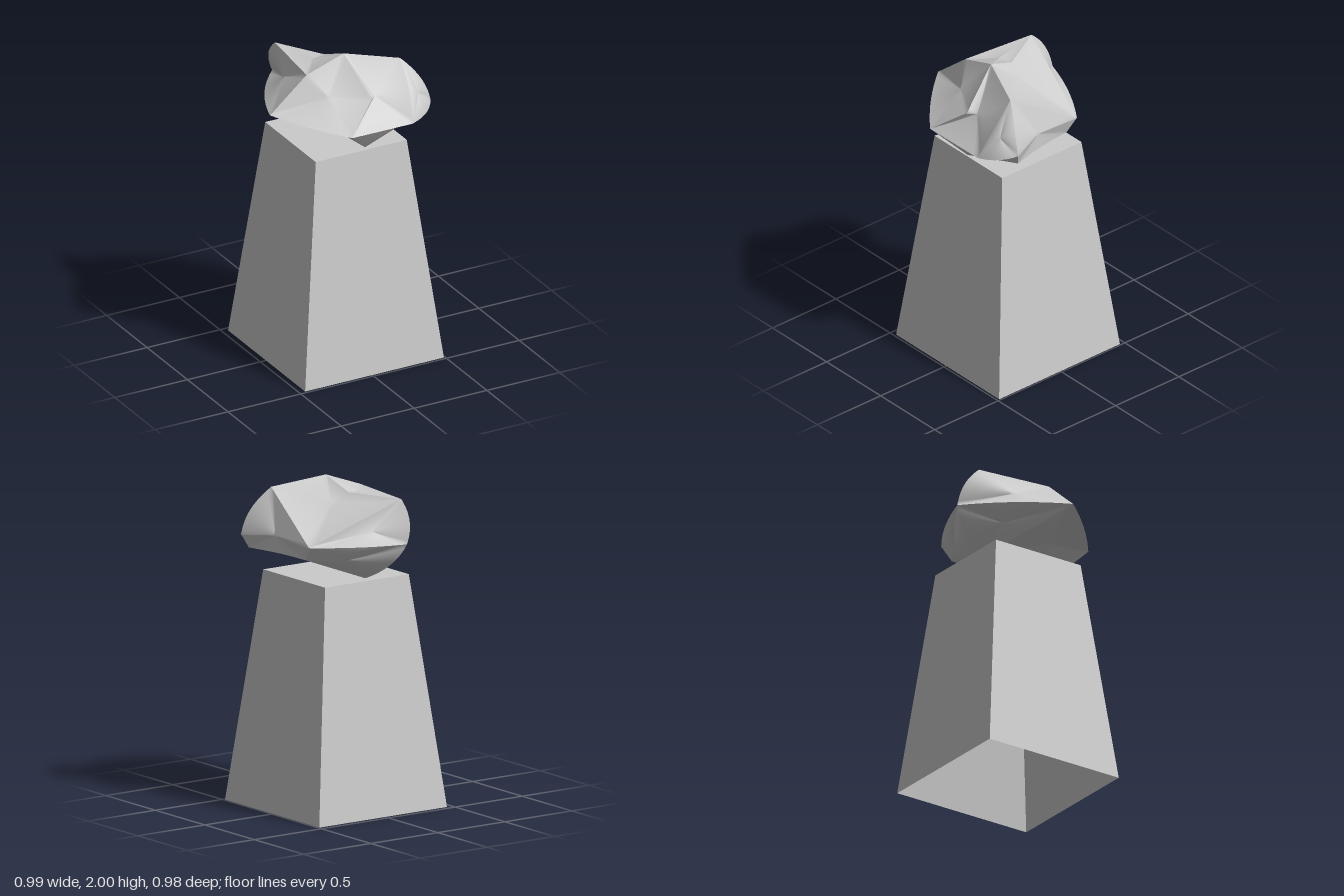
import * as THREE from 'three';
import { mergeGeometries } from 'three/addons/utils/BufferGeometryUtils.js';

const material = new THREE.MeshStandardMaterial({ color: 0xcccccc, roughness: 0.85, side: THREE.DoubleSide });

// Corners of the boulder, where its ridges meet
const corners = {
  A: [-0.5, 1.7, 0.12], B: [-0.14, 1.62, 0.49], C: [-0.15, 1.66, -0.485], D: [-0.2, 1.91, -0.36],
  E: [0.32, 1.945, 0.25], F: [0.385, 1.66, -0.22], G: [0.485, 1.66, 0.33], H: [0.28, 1.61, 0.475],
  K: [-0.02, 1.425, -0.24], L: [0.03, 1.455, 0.34], M: [0.45, 1.58, 0.3], N: [0.36, 1.57, -0.16],
  P: [-0.25, 1.91, 0.12], Q: [0.06, 1.78, 0.37], R: [-0.03, 1.92, -0.06], T: [0, 2, 0.13],
};
// Facets as corner loops, with how far each is hollowed (negative) or swollen
const facets = [
  ['ABQTP', -0.02], ['BHETQ', -0.02], ['HGE', 0.03], ['EGMNF', 0], ['TEFDR', -0.03],
  ['PTRD', -0.015], ['APDC', -0.015], ['DFC', -0.02], ['BLMGH', 0.01],
  ['LKNM', -0.03], ['KCFN', 0.02], ['ABLK', -0.04], ['AKC', 0.01],
];
// Pairs of corners whose ridge bows outward
const bowed = { EG: 0.035, CD: 0.04, CK: 0.04, AC: 0.04, AB: 0.02, CF: 0.025, GH: 0.03, AK: 0.02, MN: -0.01, EH: 0.02 };
const middle = new THREE.Vector3(0, 1.7, 0);
const corner = (k) => new THREE.Vector3(...corners[k]);

// Point along the ridge between two corners
function ridge(a, b, s) {
  const p = corner(a).lerp(corner(b), s);
  const bow = bowed[[a, b].sort().join('')] || 0;
  const out = corner(a).add(corner(b)).multiplyScalar(0.5).sub(middle).normalize();
  return p.addScaledVector(out, bow * 4 * s * (1 - s));
}

// One smooth facet, built as rings shrinking from its ridges to its centre
function facetGeometry([loop, swell]) {
  const keys = [...loop], steps = 12, rings = 10;
  const rim = keys.flatMap((k, i) =>
    Array.from({ length: steps }, (_, j) => ridge(k, keys[(i + 1) % keys.length], j / steps)));
  const centre = keys.reduce((sum, k) => sum.add(corner(k)), new THREE.Vector3()).divideScalar(keys.length);
  const normal = new THREE.Vector3();
  rim.forEach((p, i) => {
    const q = rim[(i + 1) % rim.length];
    normal.add(p.clone().sub(centre).cross(q.clone().sub(centre)));
  });
  normal.normalize();
  if (normal.dot(centre.clone().sub(middle)) < 0) { rim.reverse(); normal.negate(); }

  const n = rim.length, positions = [], index = [];
  for (let r = 0; r < rings; r++) {
    const t = 1 - r / rings;
    for (const p of rim) {
      positions.push(...centre.clone().lerp(p, t).addScaledVector(normal, swell * (1 - t * t)).toArray());
    }
  }
  positions.push(...centre.clone().addScaledVector(normal, swell).toArray());
  for (let r = 0; r < rings; r++) {
    for (let i = 0; i < n; i++) {
      const a = r * n + i, b = r * n + (i + 1) % n;
      if (r === rings - 1) index.push(a, b, rings * n);
      else index.push(a, b, b + n, a, b + n, a + n);
    }
  }
  const geometry = new THREE.BufferGeometry();
  geometry.setAttribute('position', new THREE.Float32BufferAttribute(positions, 3));
  geometry.setIndex(index);
  geometry.computeVertexNormals();
  return geometry;
}

// Tapered hollow plinth: a box narrowed at the top, with its floor left out
function plinthGeometry(height, bottom, top) {
  const box = new THREE.BoxGeometry(1, height, 1);
  const position = box.attributes.position;
  for (let i = 0; i < position.count; i++) {
    const width = position.getY(i) > 0 ? top : bottom;
    position.setXYZ(i, position.getX(i) * width, position.getY(i) + height / 2, position.getZ(i) * width);
  }
  const index = [...box.index.array];
  index.splice(18, 6); // floor
  box.setIndex(index);
  box.clearGroups();
  const geometry = box.toNonIndexed();
  geometry.computeVertexNormals();
  return geometry;
}

export function createModel() {
  const model = new THREE.Group();
  model.name = 'boulderOnPlinth';

  const plinth = new THREE.Mesh(plinthGeometry(1.425, 0.953, 0.625), material);
  plinth.name = 'plinth';
  plinth.position.set(0.015, 0, 0.008);

  const boulder = new THREE.Mesh(mergeGeometries(facets.map(facetGeometry)), material);
  boulder.name = 'boulder';

  model.add(plinth, boulder);
  return model;
}
